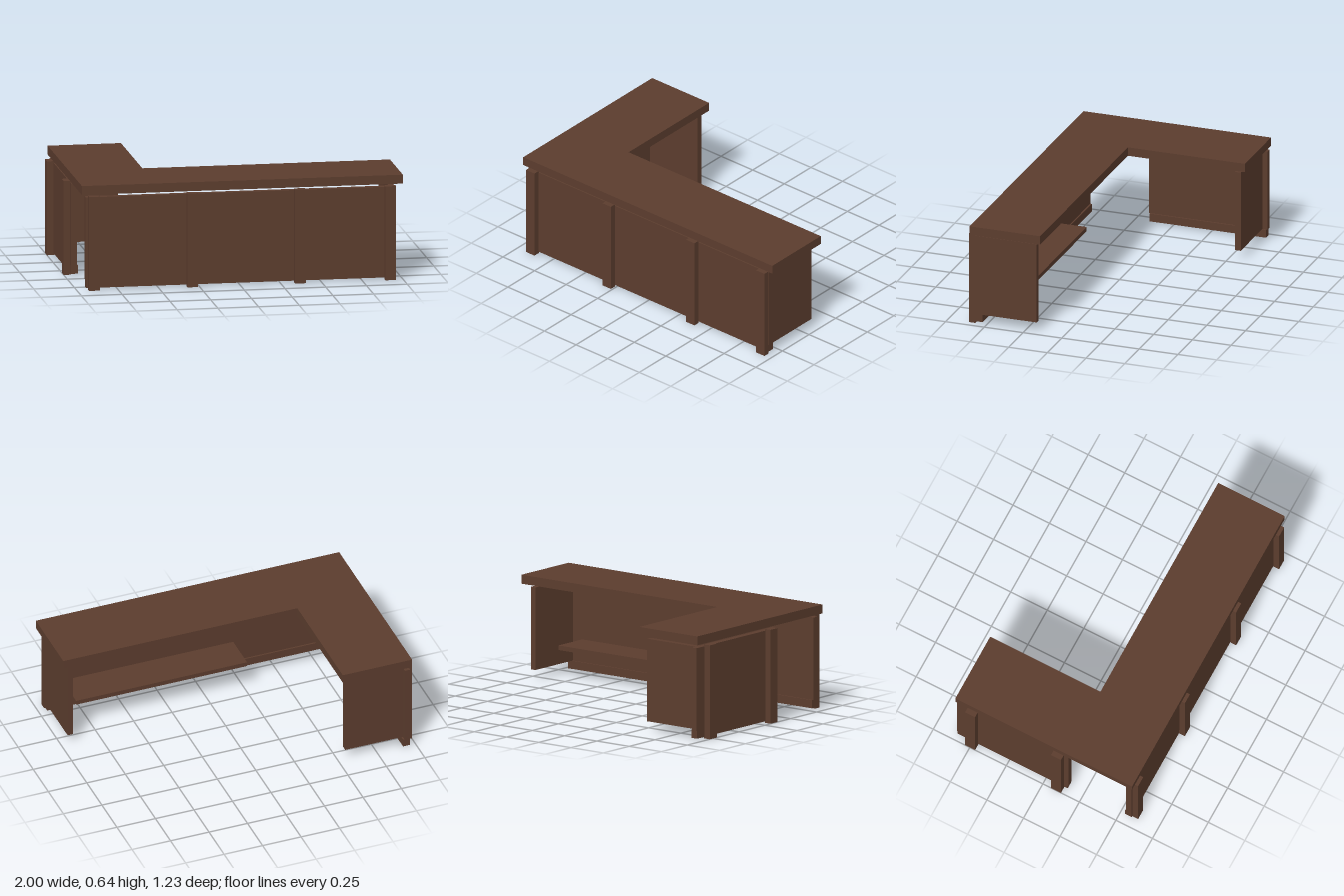
import * as THREE from 'three';

export function createModel() {
  const desk = new THREE.Group();
  desk.name = 'cornerDesk';
  const wood = new THREE.MeshStandardMaterial({ color: 0x5c3d2e });
  wood.name = 'darkWood';

  // Box given by its minimum and maximum on each axis
  function board(name, [x0, x1], [y0, y1], [z0, z1]) {
    const mesh = new THREE.Mesh(new THREE.BoxGeometry(x1 - x0, y1 - y0, z1 - z0), wood);
    mesh.name = name;
    mesh.position.set((x0 + x1) / 2, (y0 + y1) / 2, (z0 + z1) / 2);
    desk.add(mesh);
  }

  // L-shaped worktop, drawn in x and -z and laid flat
  const outline = [[-0.97, -0.595], [1, -0.595], [1, -0.14], [-0.52, -0.14], [-0.52, 0.615], [-0.97, 0.615]];
  const topGeometry = new THREE.ExtrudeGeometry(
    new THREE.Shape(outline.map(([x, y]) => new THREE.Vector2(x, y))),
    { depth: 0.055, bevelEnabled: false }
  );
  topGeometry.rotateX(-Math.PI / 2);
  const worktop = new THREE.Mesh(topGeometry, wood);
  worktop.name = 'worktop';
  worktop.position.y = 0.59;
  desk.add(worktop);

  const panelY = [0.06, 0.57];
  const baseY = [0.01, 0.06];
  const postY = [0, 0.58];

  // Long front section
  board('frontPanel', [-0.945, 0.957], panelY, [0.54, 0.577]);
  board('frontBase', [-0.94, 0.952], baseY, [0.53, 0.576]);
  board('frontEndPanel', [0.922, 0.957], panelY, [0.178, 0.54]);
  board('shelf', [-0.26, 0.85], [0.172, 0.2], [0.31, 0.54]);

  // Return section, leaving a gap before the front section
  board('sidePanel', [-0.96, -0.925], panelY, [-0.61, 0.155]);
  board('sideBase', [-0.959, -0.915], baseY, [-0.605, 0.148]);
  board('sideEndPanel', [-0.925, -0.55], panelY, [-0.577, -0.54]);

  // Posts on the outer faces
  for (const x of [-0.897, -0.293, 0.368, 0.922]) {
    board('frontPost', [x - 0.033, x + 0.033], postY, [0.575, 0.615]);
  }
  for (const z of [-0.498, 0.09]) {
    board('sidePost', [-1, -0.955], postY, [z - 0.034, z + 0.034]);
  }
  return desk;
}
